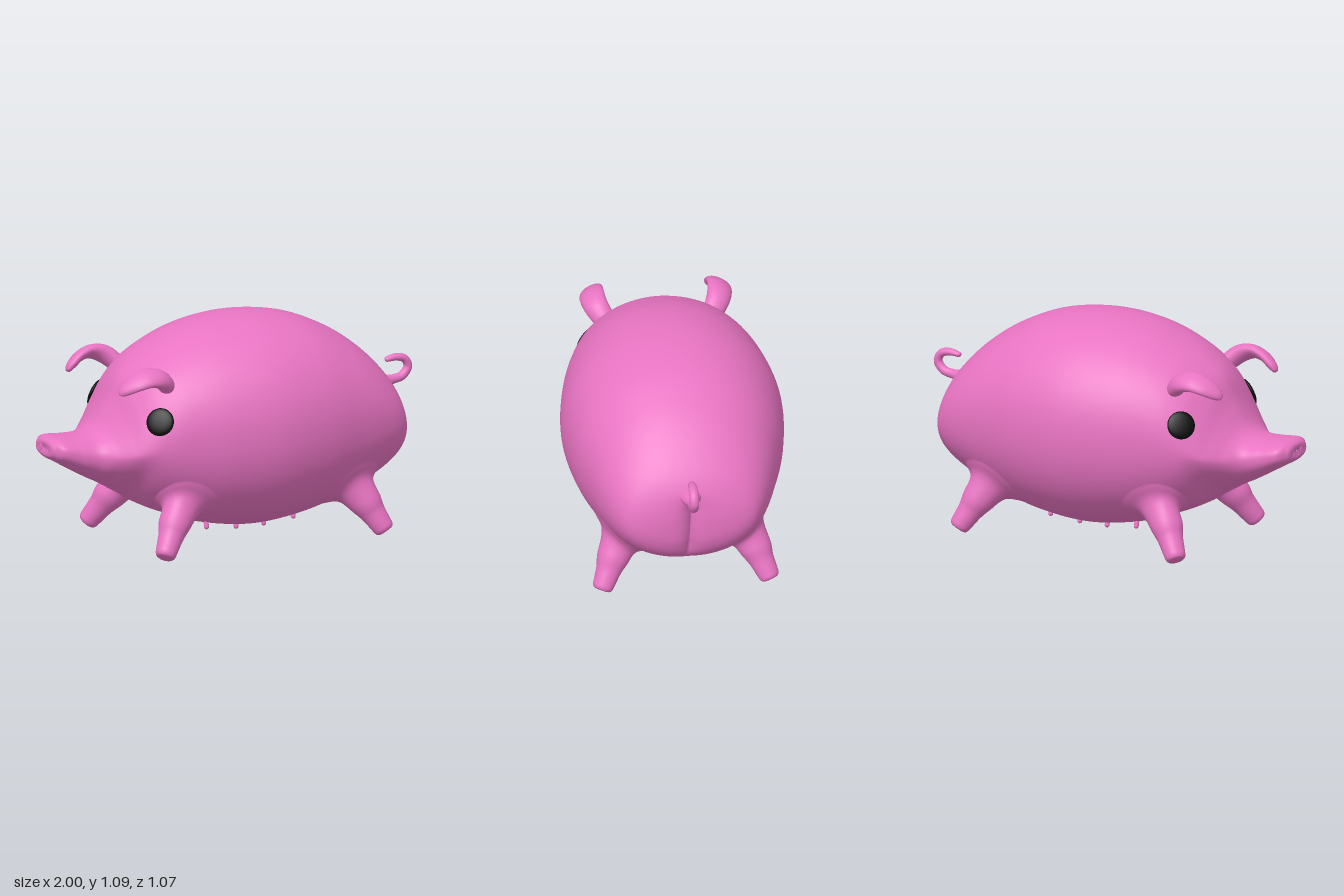
import * as THREE from 'three';
import { ParametricGeometry } from 'three/addons/geometries/ParametricGeometry.js';

const pink = new THREE.MeshStandardMaterial({ color: 0xe874c2 });
const black = new THREE.MeshStandardMaterial({ color: 0x0a0a0a });
const V = (x, y, z) => new THREE.Vector3(x, y, z);
const spline = (rows, f) => new THREE.CatmullRomCurve3(rows.map(f), false, 'catmullrom', 0.5);
const TAU = Math.PI * 2;

function add(parent, name, geometry, material = pink) {
  const mesh = new THREE.Mesh(geometry, material);
  mesh.name = name;
  parent.add(mesh);
  return mesh;
}

// Body sections from snout to rump: x, top, bottom, half width, height of widest point, roundness
const sections = [
  [-0.992, 0.534, 0.53, 0.002, 0.532, 2.2],
  [-0.998, 0.56, 0.5, 0.075, 0.53, 2.4],
  [-0.985, 0.578, 0.482, 0.105, 0.53, 2.4],
  [-0.95, 0.587, 0.462, 0.143, 0.525, 2.4],
  [-0.86, 0.583, 0.41, 0.162, 0.5, 2.3],
  [-0.78, 0.59, 0.365, 0.183, 0.49, 2],
  [-0.72, 0.63, 0.335, 0.24, 0.495, 1.65],
  [-0.66, 0.725, 0.3, 0.305, 0.51, 1.5],
  [-0.6, 0.845, 0.265, 0.35, 0.53, 1.58],
  [-0.52, 0.915, 0.215, 0.39, 0.55, 1.95],
  [-0.4, 0.985, 0.16, 0.437, 0.57, 2.12],
  [-0.2, 1.062, 0.09, 0.5, 0.575, 2.1],
  [0.05, 1.092, 0.055, 0.537, 0.58, 2.1],
  [0.3, 1.064, 0.08, 0.513, 0.58, 2.1],
  [0.5, 0.985, 0.135, 0.46, 0.57, 2.1],
  [0.65, 0.885, 0.2, 0.41, 0.55, 2.1],
  [0.76, 0.775, 0.265, 0.355, 0.525, 2.1],
  [0.82, 0.68, 0.32, 0.295, 0.5, 2],
  [0.85, 0.58, 0.39, 0.185, 0.48, 2],
  [0.858, 0.4715, 0.4705, 0.0006, 0.471, 2],
];
const heights = spline(sections, (s) => V(s[0], s[1], s[2]));
const widths = spline(sections, (s) => V(s[3], s[4], s[5]));

function bodyPoint(u, v, target) {
  const { x, y: top, z: bottom } = heights.getPoint(u);
  const { x: w, y: mid, z: n } = widths.getPoint(u);
  const c = Math.cos(v * TAU), s = Math.sin(v * TAU);
  const k = (Math.abs(c) ** n + Math.abs(s) ** n) ** (-1 / n);
  const z = w * c * k;
  const y = mid + (s > 0 ? top - mid : mid - bottom) * s * k;
  // crease between the buttocks
  const rear = THREE.MathUtils.smoothstep(x, 0.6, 0.8);
  const span = THREE.MathUtils.smoothstep(y, 0.2, 0.38) * (1 - THREE.MathUtils.smoothstep(y, 0.56, 0.68));
  return target.set(x - 0.055 * rear * span * Math.exp(-Math.abs(z) / 0.035), y, z);
}
const onBody = (u, v) => bodyPoint(u, v, V(0, 0, 0));

function bodyNormal(u, v) {
  const p = onBody(u, v);
  return onBody(u + 0.002, v).sub(p).cross(onBody(u, v + 0.002).sub(p)).normalize();
}

// Oval tube along rows of x, y, z, side radius, other radius
function sweep(rows, side, nu = 40, nv = 24) {
  const path = spline(rows, (r) => V(r[0], r[1], r[2]));
  const radii = spline(rows, (r) => V(r[3], r[4], 0));
  return new ParametricGeometry((u, v, target) => {
    const t = path.getTangent(u);
    const a = side.clone().addScaledVector(t, -side.dot(t)).normalize();
    const b = a.clone().cross(t);
    const r = radii.getPoint(u);
    target.copy(path.getPoint(u))
      .addScaledVector(a, r.x * Math.cos(v * TAU))
      .addScaledVector(b, r.y * Math.sin(v * TAU));
  }, nu, nv);
}

// Leg drawn out of the body skin around (u0, v0), narrowing to the foot
function leg(u0, v0, foot) {
  const hip = onBody(u0, v0);
  const d = foot.clone().sub(hip).normalize();
  const a = V(1, 0, 0).addScaledVector(d, -d.x).normalize();
  const b = d.clone().cross(a);
  // skin rings: share of the flare, lift off the skin
  const flare = [[1, -0.006], [0.7, 0.004], [0.45, 0.035]];
  // leg rings: fraction of the way to the foot, radius
  const rings = [[0.42, 0.077], [0.62, 0.062], [0.84, 0.054], [0.95, 0.049], [1, 0.036], [1.01, 0.002]];
  return new ParametricGeometry((u, v, target) => {
    const c = Math.cos(v * TAU), s = -Math.sin(v * TAU);
    const points = flare.map(([k, lift]) => onBody(u0 + 0.066 * k * c, v0 + 0.078 * k * s).addScaledVector(d, lift));
    for (const [t, r] of rings) {
      points.push(hip.clone().lerp(foot, t).addScaledVector(a, r * c).addScaledVector(b, r * s));
    }
    target.copy(spline(points, (p) => p).getPoint(u));
  }, 48, 36);
}

export function createModel() {
  const pig = new THREE.Group();
  pig.name = 'pig';
  add(pig, 'body', new ParametricGeometry(bodyPoint, 140, 112));

  // curled tail
  add(pig, 'tail', sweep([
    [0.77, 0.645, 0, 0.075, 0.05], [0.84, 0.653, 0, 0.045, 0.036], [0.89, 0.66, 0, 0.024, 0.024],
    [0.945, 0.673, 0, 0.023, 0.022], [0.977, 0.715, 0, 0.023, 0.021], [0.958, 0.757, 0, 0.023, 0.02],
    [0.91, 0.769, 0, 0.022, 0.018], [0.862, 0.762, 0, 0.015, 0.012], [0.852, 0.76, 0, 0.002, 0.002],
  ], V(0, 0, 1), 64, 20));

  for (const s of [1, -1]) {
    const label = s > 0 ? 'left' : 'right';
    const mirror = (v) => (s > 0 ? v : 0.5 - v);

    add(pig, label + 'FrontLeg', leg(0.524, mirror(-0.134), V(-0.555, 0.025, s * 0.41)));
    add(pig, label + 'HindLeg', leg(0.744, mirror(-0.134), V(0.645, 0.025, s * 0.41)));

    // drooping ear
    add(pig, label + 'Ear', sweep([
      [-0.45, 0.82, s * 0.25, 0.05, 0.04], [-0.515, 0.878, s * 0.295, 0.06, 0.042],
      [-0.585, 0.898, s * 0.31, 0.064, 0.032], [-0.65, 0.882, s * 0.303, 0.058, 0.026],
      [-0.7, 0.85, s * 0.285, 0.04, 0.022], [-0.724, 0.828, s * 0.275, 0.02, 0.013],
      [-0.729, 0.823, s * 0.273, 0.002, 0.002],
    ], V(0, -0.5 * s, 1)));

    // eye lying on the side of the face
    const eyeV = mirror(0.065);
    const eye = add(pig, label + 'Eye', new THREE.SphereGeometry(0.068, 32, 20), black);
    eye.position.copy(onBody(0.46, eyeV));
    eye.lookAt(eye.position.clone().add(bodyNormal(0.46, eyeV)));
    eye.scale.z = 0.25;

    // nostril rim
    const nostril = add(pig, label + 'Nostril', new THREE.TorusGeometry(0.02, 0.006, 10, 24));
    nostril.position.set(-0.993, 0.53, s * 0.052);
    nostril.rotation.y = Math.PI / 2;

    // belly teats
    for (const x of [-0.19, -0.03, 0.12, 0.28]) {
      const teat = add(pig, label + 'Teat', new THREE.CapsuleGeometry(0.012, 0.04, 4, 10));
      teat.position.set(x, x < -0.1 || x > 0.2 ? 0.1 : 0.085, s * 0.14);
      teat.rotation.x = -s * 0.25;
    }
  }
  return pig;
}
